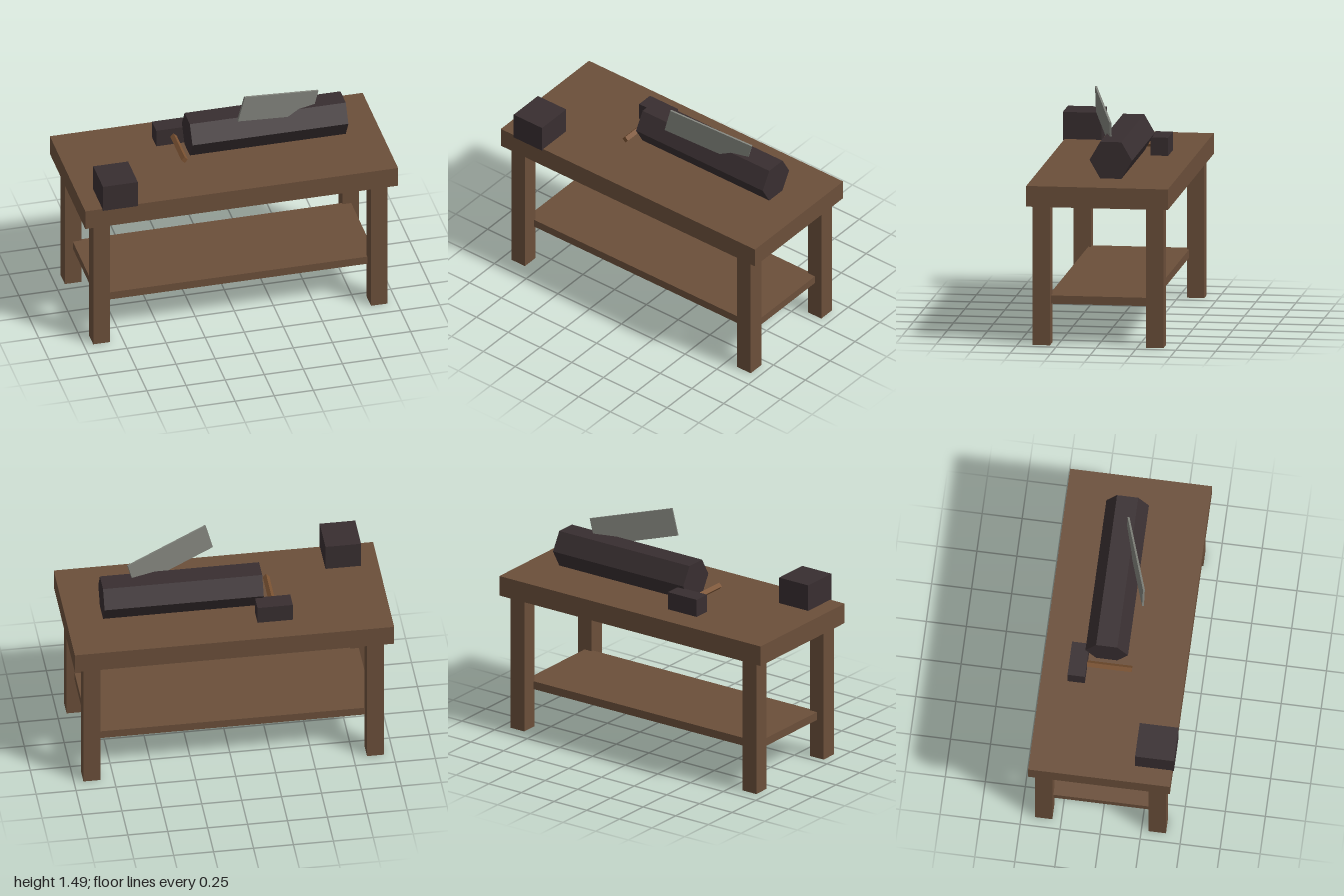
import * as THREE from 'three';

const wood = new THREE.MeshStandardMaterial({ name: 'wood', color: 0x6b4f3a, flatShading: true });
const handleWood = new THREE.MeshStandardMaterial({ name: 'handleWood', color: 0x7a5232, flatShading: true });
const iron = new THREE.MeshStandardMaterial({ name: 'darkIron', color: 0x382e30, flatShading: true });
const steel = new THREE.MeshStandardMaterial({ name: 'steel', color: 0x7f817a, flatShading: true });

// Box given by its limits on each axis
function box(name, material, [x0, x1], [y0, y1], [z0, z1]) {
  const mesh = new THREE.Mesh(new THREE.BoxGeometry(x1 - x0, y1 - y0, z1 - z0), material);
  mesh.position.set((x0 + x1) / 2, (y0 + y1) / 2, (z0 + z1) / 2);
  mesh.name = name;
  return mesh;
}

export function createModel() {
  const model = new THREE.Group();
  model.name = 'workbench';

  // Bench: top, shelf let into the legs, four legs
  const bench = new THREE.Group();
  bench.name = 'bench';
  bench.add(box('tabletop', wood, [-1, 1], [0.88, 1.01], [-0.45, 0.436]));
  bench.add(box('shelf', wood, [-0.89, 0.89], [0.253, 0.305], [-0.32, 0.312]));
  for (const x of [-0.888, 0.888]) {
    for (const z of [-0.36, 0.35]) {
      bench.add(box('leg', wood, [x - 0.053, x + 0.053], [0, 0.89], [z - 0.054, z + 0.054]));
    }
  }
  model.add(bench);

  // Iron block at the front corner
  model.add(box('ironBlock', iron, [-0.89, -0.667], [1.003, 1.18], [0.204, 0.447]));

  // Hammer lying on the bench, with a four-sided handle
  const hammer = new THREE.Group();
  hammer.name = 'hammer';
  hammer.add(box('hammerHead', iron, [-0.39, -0.169], [1.008, 1.124], [-0.284, -0.175]));
  const handle = new THREE.Mesh(new THREE.CylinderGeometry(0.021, 0.021, 0.32, 4), handleWood);
  handle.name = 'hammerHandle';
  handle.rotation.x = Math.PI / 2;
  handle.position.set(-0.28, 1.067, -0.055);
  hammer.add(handle);
  model.add(hammer);

  // Hexagonal bar along x, flat side down
  const bar = new THREE.Mesh(new THREE.CylinderGeometry(0.133, 0.133, 0.997, 6), iron);
  bar.name = 'hexagonalBar';
  bar.rotation.z = Math.PI / 2;
  bar.position.set(0.277, 1.144, -0.061);
  model.add(bar);

  // Blade leaning into the bar
  const blade = new THREE.Mesh(new THREE.BoxGeometry(0.554, 0.176, 0.012), steel);
  blade.name = 'blade';
  blade.rotation.set(0, 0.3, -0.257, 'ZYX');
  blade.position.set(0.33, 1.335, 0.048);
  model.add(blade);

  return model;
}
